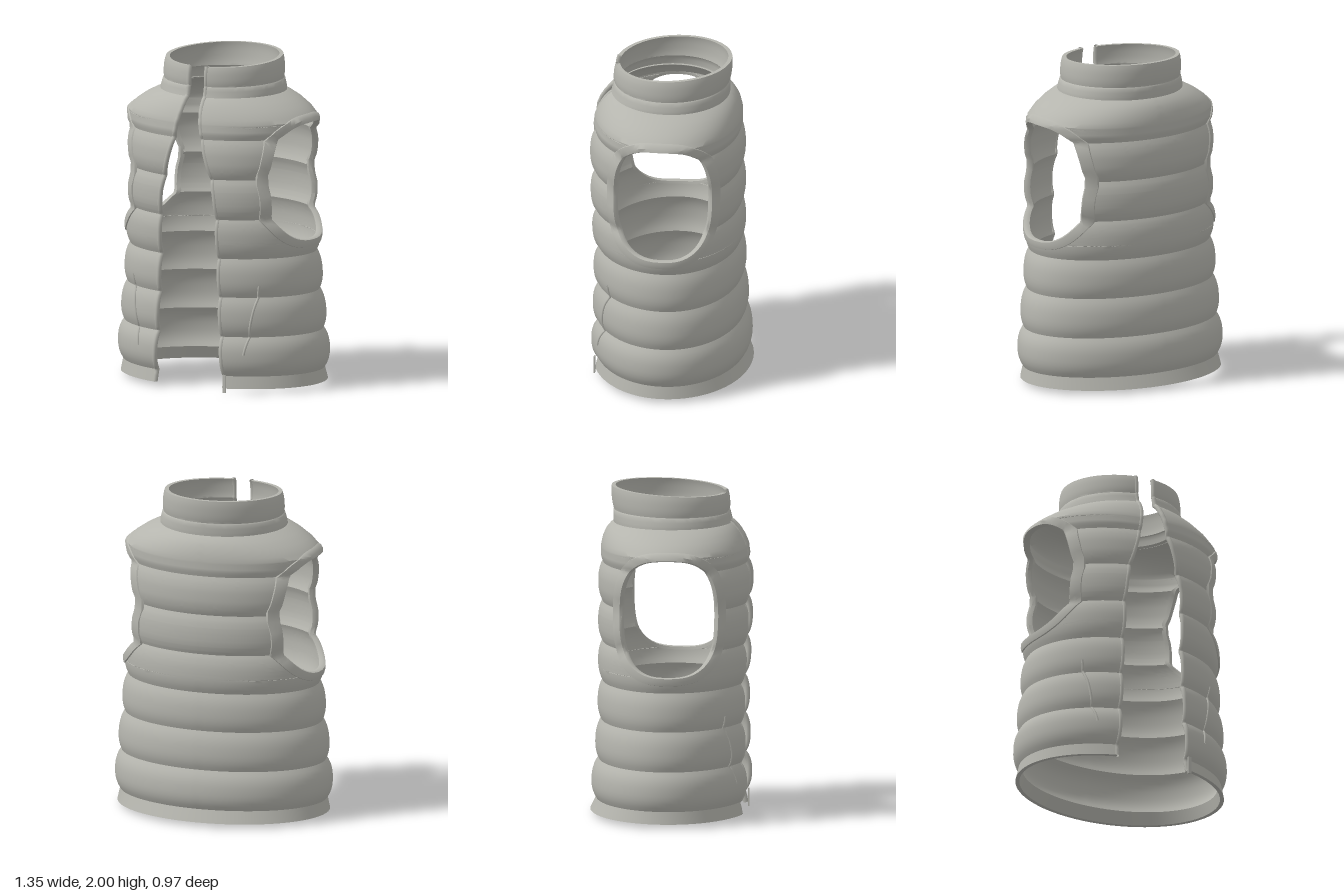
import * as THREE from 'three';
import { toCreasedNormals } from 'three/addons/utils/BufferGeometryUtils.js';

// Profile rows: height, half width, front depth, back depth, puff of the section above
const BODY = [
  [0.03, 0.66, 0.475, 0.49, 0], [0.105, 0.645, 0.46, 0.455, 0.035],
  [0.345, 0.638, 0.46, 0.44, 0.027], [0.585, 0.615, 0.457, 0.425, 0.025],
  [0.82, 0.595, 0.455, 0.417, 0.026], [1.06, 0.59, 0.47, 0.417, 0.026],
  [1.305, 0.588, 0.472, 0.417, 0.026], [1.545, 0.588, 0.462, 0.415, 0],
  [1.575, 0.602, 0.47, 0.425, 0], [1.64, 0.605, 0.462, 0.425, 0],
  [1.69, 0.557, 0.442, 0.415, 0], [1.735, 0.49, 0.415, 0.395, 0],
  [1.765, 0.43, 0.39, 0.37, 0], [1.79, 0.37, 0.358, 0.335, 0],
];
const COLLAR = [
  [1.78, 0.388, 0.368, 0.35, 0], [1.8, 0.386, 0.362, 0.352, 0],
  [1.845, 0.373, 0.352, 0.352, 0], [1.852, 0.366, 0.347, 0.348, 0.007],
  [1.982, 0.355, 0.338, 0.362, 0],
];
// Half width of the front opening by height
const OPENING = [[0.03, 0.242], [0.345, 0.225], [0.82, 0.205], [1.06, 0.2], [1.2, 0.188],
  [1.305, 0.168], [1.545, 0.1], [1.7, 0.072], [1.79, 0.062], [2, 0.06]];
const HOLE = { y: 1.27, z: 0.015, h: 0.36, w: 0.295, p: 2.8 };
const THICK = 0.024;

function lookup(keys, y) {
  let i = 0;
  while (i < keys.length - 2 && y >= keys[i + 1][0]) i++;
  const k = keys[i], n = keys[i + 1];
  const t = THREE.MathUtils.clamp((y - k[0]) / (n[0] - k[0]), 0, 1);
  const out = k.map((v, j) => v + (n[j] - v) * t);
  out.puff = (k[4] || 0) * (1 - Math.abs(2 * t - 1) ** 2.5);
  return out;
}

// Point on the quilted shell; angle 0 is the front, PI the back
function shell(keys, angle, y, d, side) {
  const r = lookup(keys, y), c = Math.cos(angle);
  const depth = (c > 0 ? r[2] : r[3]) + r.puff + d;
  const tilt = keys === COLLAR ? -0.018 * c * (y - 1.78) / 0.2 : 0;
  return new THREE.Vector3(side * (r[1] + r.puff + d) * Math.sin(angle), y + tilt, depth * c);
}
function angleAtZ(keys, y, z) {
  const r = lookup(keys, y);
  return Math.acos(THREE.MathUtils.clamp(z / ((z > 0 ? r[2] : r[3]) + r.puff), -1, 1));
}
function angleAtX(keys, y, x) {
  const r = lookup(keys, y);
  return Math.asin(x / (r[1] + r.puff));
}
const openingAngle = (keys, y) => angleAtX(keys, y, lookup(OPENING, y)[1]);

function holeHalf(y) {
  const t = Math.abs((y - HOLE.y) / HOLE.h);
  return t >= 1 ? 0 : HOLE.w * (1 - t ** HOLE.p) ** (1 / HOLE.p);
}

// Adds a grid of quads fn(i, j) to a triangle list
function grid(out, nu, nv, fn, flip) {
  const tri = (a, b, c) => (flip ? [a, c, b] : [a, b, c]).forEach(p => out.push(p.x, p.y, p.z));
  for (let j = 0; j < nv; j++) {
    for (let i = 0; i < nu; i++) {
      const a = fn(i, j), b = fn(i + 1, j), c = fn(i + 1, j + 1), d = fn(i, j + 1);
      tri(a, b, c);
      tri(a, c, d);
    }
  }
}
function toMesh(name, out, material, crease) {
  const g = new THREE.BufferGeometry();
  g.setAttribute('position', new THREE.Float32BufferAttribute(out, 3));
  const mesh = new THREE.Mesh(toCreasedNormals(g, crease), material);
  mesh.name = name;
  return mesh;
}

function rowsFor(keys, withHole) {
  const rows = [];
  for (let i = 0; i < keys.length - 1; i++) {
    const n = keys[i][4] > 0 ? 10 : 2;
    for (let k = 0; k < n; k++) rows.push(keys[i][0] + (keys[i + 1][0] - keys[i][0]) * k / n);
  }
  rows.push(keys[keys.length - 1][0]);
  if (withHole) {
    for (let k = 0; k <= 28; k++) rows.push(HOLE.y - HOLE.h * Math.cos(Math.PI * k / 28));
  }
  rows.sort((a, b) => a - b);
  return rows.filter((y, i) => i === 0 || y - rows[i - 1] > 1e-5);
}

// Outer and inner layers with closed rims, cut by the opening and the armholes
function garment(name, keys, withHole, material) {
  const out = [], rows = rowsFor(keys, withHole), N = 24, last = rows.length - 1;
  for (const side of [1, -1]) {
    const flip = side < 0;
    const spans = rows.map(y => {
      const h = withHole ? holeHalf(y) : 0;
      return [[openingAngle(keys, y), angleAtZ(keys, y, HOLE.z + h)],
        [angleAtZ(keys, y, HOLE.z - h), Math.PI]];
    });
    for (const panel of [0, 1]) {
      const at = (i, j, d) => {
        const [a, b] = spans[j][panel];
        return shell(keys, a + (b - a) * i / N, rows[j], d, side);
      };
      grid(out, N, last, (i, j) => at(i, j, 0), flip);
      grid(out, N, last, (i, j) => at(i, j, -THICK), !flip);
      grid(out, N, 1, (i, j) => at(i, 0, j ? 0 : -THICK), flip);
      grid(out, N, 1, (i, j) => at(i, last, j ? -THICK : 0), flip);
      if (panel === 0) grid(out, 1, last, (i, j) => at(0, j, i ? 0 : -THICK), flip);
    }
  }
  return toMesh(name, out, material, 0.6);
}

// Flat binding that follows the armhole
function armholeTrim(side, material) {
  const out = [], N = 72;
  const section = [[0.012, -THICK - 0.008], [-0.004, -THICK - 0.006], [-0.008, -0.008],
    [-0.002, 0.008], [0.02, 0.01], [0.042, 0.007], [0.046, -0.006]];
  const at = (i, j) => {
    const f = 2 * Math.PI * i / N, [grow, d] = section[j];
    const pow = v => Math.sign(v) * Math.abs(v) ** (2 / HOLE.p);
    const z = HOLE.z + (HOLE.w + grow) * pow(Math.cos(f));
    const y = HOLE.y + (HOLE.h + grow) * pow(Math.sin(f));
    return shell(BODY, angleAtZ(BODY, y, z), y, d, side);
  };
  grid(out, N, section.length - 1, at, side < 0);
  return toMesh(side > 0 ? 'leftArmholeTrim' : 'rightArmholeTrim', out, material, 0.8);
}

function cord(name, points, radius, material) {
  const curve = new THREE.CatmullRomCurve3(points);
  const mesh = new THREE.Mesh(new THREE.TubeGeometry(curve, points.length * 2, radius, 8), material);
  mesh.name = name;
  return mesh;
}

export function createModel() {
  const model = new THREE.Group();
  model.name = 'quiltedVest';
  const fabric = new THREE.MeshStandardMaterial({ color: 0xb5b5ae, side: THREE.DoubleSide });
  fabric.name = 'greyFabric';

  model.add(garment('quiltedBody', BODY, true, fabric));
  model.add(garment('collar', COLLAR, false, fabric));

  for (const side of [1, -1]) {
    const label = side > 0 ? 'left' : 'right';
    model.add(armholeTrim(side, fabric));

    // Zip edges along the opening
    for (const [part, keys] of [['FrontEdge', BODY], ['CollarEdge', COLLAR]]) {
      const pts = rowsFor(keys, false).map(y =>
        shell(keys, openingAngle(keys, y), y, -THICK / 2, side));
      model.add(cord(label + part, pts, 0.015, fabric));
    }

    // Slanted pocket zips
    const pocket = [];
    for (let k = 0; k <= 24; k++) {
      const y = 0.24 + 0.42 * k / 24;
      pocket.push(shell(BODY, angleAtX(BODY, y, 0.36 + (y - 0.24) * 0.17), y, 0, side));
    }
    model.add(cord(label + 'PocketZip', pocket, 0.008, fabric));
  }

  // Zip end hanging below the left edge
  const zipEnd = new THREE.Mesh(new THREE.BoxGeometry(0.022, 0.11, 0.008), fabric);
  zipEnd.position.set(0.245, 0.06, 0.448);
  zipEnd.name = 'zipEnd';
  model.add(zipEnd);
  return model;
}
